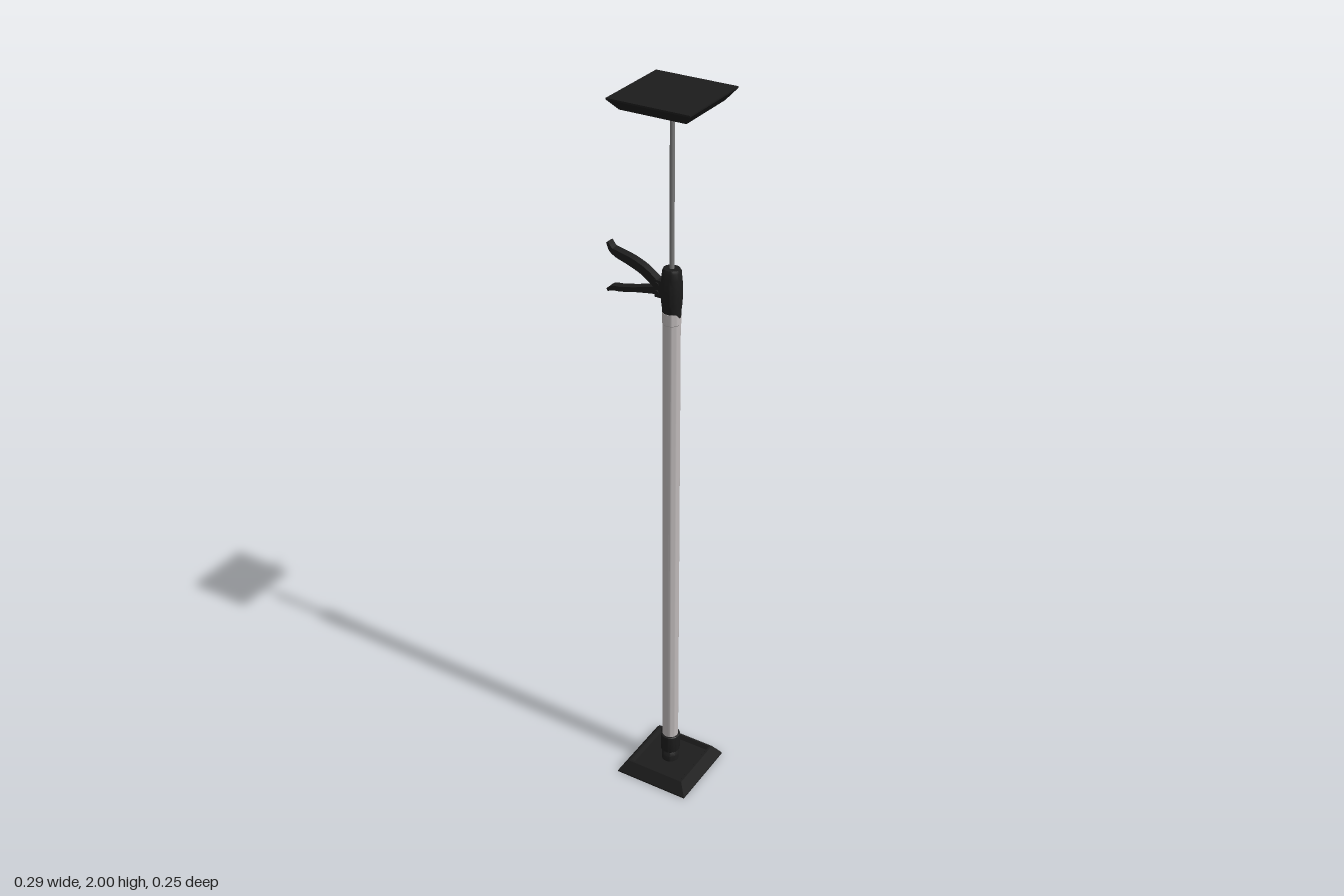
import * as THREE from 'three';
import { toCreasedNormals } from 'three/addons/utils/BufferGeometryUtils.js';

const black = new THREE.MeshStandardMaterial({ color: 0x1c1c1c, side: THREE.DoubleSide });
const tubeGrey = new THREE.MeshStandardMaterial({ color: 0xbdb8b8 });
const rodGrey = new THREE.MeshStandardMaterial({ color: 0x777777 });

function add(parent, name, geometry, material, x = 0, y = 0, z = 0) {
  const mesh = new THREE.Mesh(geometry, material);
  mesh.name = name;
  mesh.position.set(x, y, z);
  parent.add(mesh);
  return mesh;
}

// Turned part from [radius, height] pairs
function turned(profile, sides = 32) {
  const points = profile.map(([r, y]) => new THREE.Vector2(r, y));
  return toCreasedNormals(new THREE.LatheGeometry(points, sides), 0.6);
}

// Square tray: flat pad underneath, sloping outer sides, rim and shallow recess
function trayGeometry(height, floor) {
  const s = Math.SQRT2;
  const profile = [[0, 0], [0.1085, 0], [0.1085, 0.004], [0.087, height], [0.081, height], [0.075, floor], [0, floor]];
  const points = profile.map(([r, y]) => new THREE.Vector2(r * s, y));
  const g = new THREE.LatheGeometry(points, 4).toNonIndexed();
  g.rotateY(Math.PI / 4);
  g.computeVertexNormals();
  return g;
}

// Flat lever cut from a tapered ribbon that follows a curve
function leverGeometry(path, widths, depth) {
  const curve = new THREE.CatmullRomCurve3(path.map(([x, y]) => new THREE.Vector3(x, y, 0)));
  const upper = [], lower = [], n = 24;
  for (let i = 0; i <= n; i++) {
    const t = i / n, p = curve.getPoint(t), d = curve.getTangent(t);
    const k = t * (widths.length - 1), j = Math.min(Math.floor(k), widths.length - 2);
    const w = THREE.MathUtils.lerp(widths[j], widths[j + 1], k - j);
    upper.push(new THREE.Vector2(p.x - d.y * w, p.y + d.x * w));
    lower.unshift(new THREE.Vector2(p.x + d.y * w, p.y - d.x * w));
  }
  const g = new THREE.ExtrudeGeometry(new THREE.Shape([...upper, ...lower]), {
    depth: depth - 0.004, bevelEnabled: true, bevelSize: 0.001, bevelThickness: 0.002, bevelSegments: 2,
  });
  g.translate(0, 0, -depth / 2 + 0.002);
  return toCreasedNormals(g, 0.6);
}

export function createModel() {
  const model = new THREE.Group();
  model.name = 'supportPole';
  // Everything is built around the pole axis, which stands off centre
  const pole = new THREE.Group();
  pole.name = 'pole';
  pole.position.set(0.036, 0, 0.0145);
  model.add(pole);

  // Foot and head pads
  add(pole, 'footPad', trayGeometry(0.035, 0.024), black);
  const head = add(pole, 'headPad', trayGeometry(0.03, 0.012), black, 0, 2, 0);
  head.rotation.x = Math.PI;

  // Swivel joint and collar at the foot
  add(pole, 'footJoint', turned([[0, 0.022], [0.024, 0.022], [0.024, 0.042], [0.019, 0.051], [0.015, 0.056], [0.015, 0.062], [0, 0.062]]), black);
  add(pole, 'footCollar', turned([[0, 0.058], [0.025, 0.058], [0.027, 0.061], [0.027, 0.112], [0.025, 0.114], [0.02, 0.114]]), black);

  // Main tube, inner rod and its head socket
  add(pole, 'mainTube', turned([[0.022, 0.1], [0.022, 1.418], [0.0235, 1.42], [0.0235, 1.45], [0, 1.45]]), tubeGrey);
  add(pole, 'innerRod', new THREE.CylinderGeometry(0.006, 0.006, 0.45, 20), rodGrey, 0, 1.765, 0);
  add(pole, 'headSocket', turned([[0, 1.968], [0.009, 1.968], [0.012, 1.99], [0, 1.99]]), black);

  // Locking pin under the head
  const pin = new THREE.Group();
  pin.name = 'lockingPin';
  pin.position.y = 1.957;
  pin.rotation.y = -0.09;
  pole.add(pin);
  const shaft = add(pin, 'pinShaft', new THREE.CylinderGeometry(0.004, 0.004, 0.139, 12), black, 0, 0, -0.0695);
  shaft.rotation.x = Math.PI / 2;

  // Grip housing with the pivots of both levers
  const grip = new THREE.Group();
  grip.name = 'grip';
  pole.add(grip);
  const housing = add(grip, 'gripHousing', turned([
    [0.02, 1.438], [0.0235, 1.438], [0.0245, 1.46], [0.0265, 1.475], [0.0275, 1.5], [0.0275, 1.525],
    [0.0255, 1.54], [0.0245, 1.558], [0.021, 1.565], [0, 1.565],
  ]), black);
  housing.scale.z = 0.92;
  add(grip, 'pivotBlock', new THREE.BoxGeometry(0.026, 0.045, 0.026), black, -0.028, 1.507, 0);
  for (const y of [1.519, 1.498]) {
    const pivot = add(grip, 'pivotPin', new THREE.CylinderGeometry(0.006, 0.006, 0.032, 16), black, -0.035, y, 0);
    pivot.rotation.x = Math.PI / 2;
  }

  // Fixed handle above, squeeze trigger below
  const leverDepth = 0.021;
  add(grip, 'upperHandle', leverGeometry(
    [[-0.025, 1.508], [-0.045, 1.522], [-0.075, 1.543], [-0.11, 1.558], [-0.15, 1.57], [-0.165, 1.577], [-0.175, 1.594]],
    [0.013, 0.011, 0.011, 0.011, 0.009, 0.006, 0.003], leverDepth), black);
  add(grip, 'trigger', leverGeometry(
    [[-0.025, 1.503], [-0.06, 1.496], [-0.1, 1.487], [-0.14, 1.478], [-0.163, 1.475], [-0.178, 1.467]],
    [0.01, 0.008, 0.006, 0.006, 0.006, 0.003], leverDepth), black);
  return model;
}
